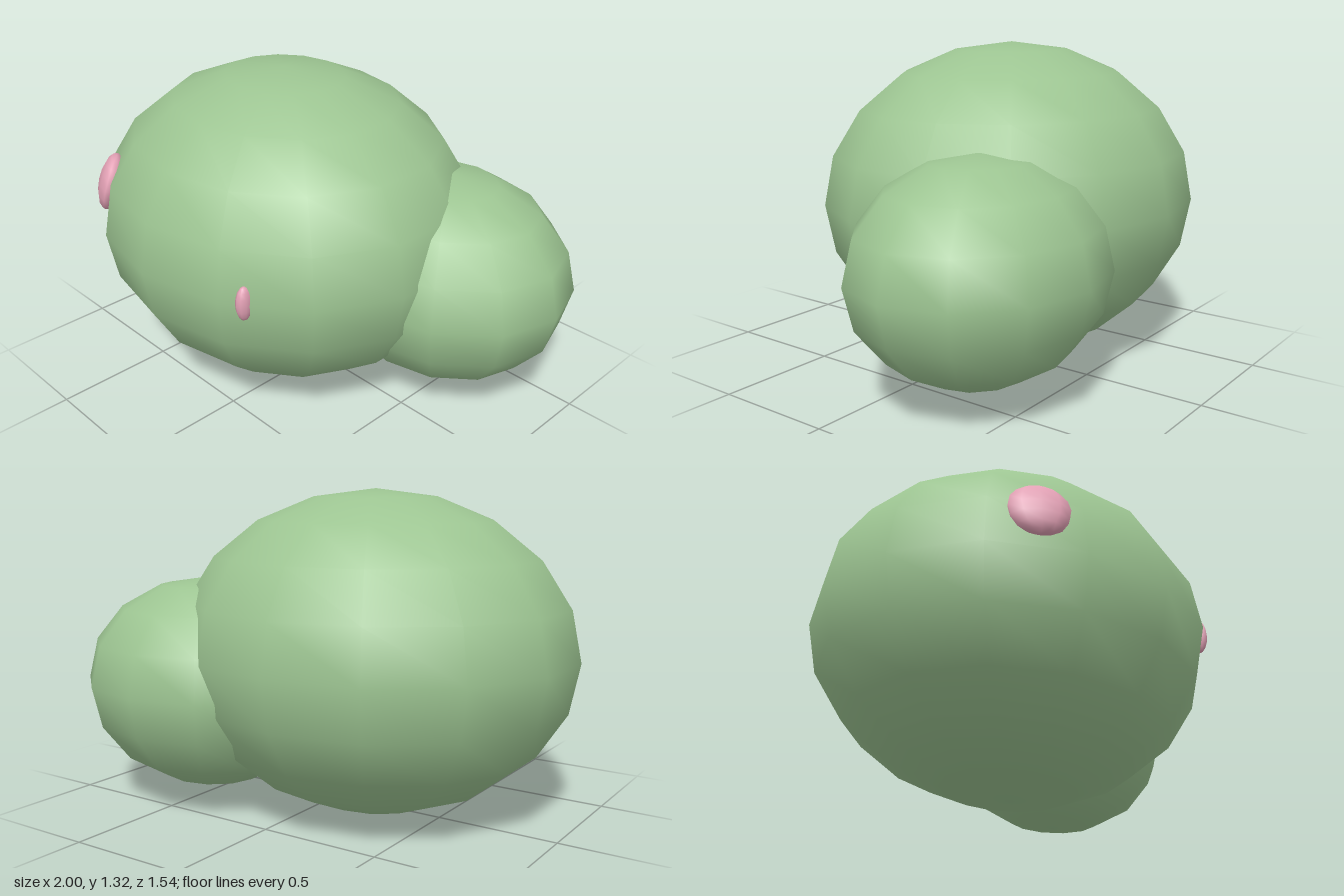
import * as THREE from 'three';

const green = new THREE.MeshStandardMaterial({ color: 0x9dc592 });
green.name = 'soft green';
const pink = new THREE.MeshStandardMaterial({ color: 0xe4a2b6 });
pink.name = 'blush pink';

// Smooth low-poly ellipsoid with a column of vertices facing the front
function ellipsoid(name, material, center, radii, columns, rows) {
  const geometry = new THREE.SphereGeometry(1, columns, rows, Math.PI / 2);
  const mesh = new THREE.Mesh(geometry, material);
  mesh.name = name;
  mesh.position.set(...center);
  mesh.scale.set(...radii);
  return mesh;
}

export function createModel() {
  const group = new THREE.Group();
  group.name = 'roundCreature';

  // Main body and the smaller lobe behind its left side
  group.add(ellipsoid('body', green, [-0.18, 0.66, 0.0125], [0.841, 0.658, 0.757], 14, 10));
  group.add(ellipsoid('tail', green, [0.445, 0.516, -0.297], [0.555, 0.438, 0.476], 12, 8));

  // Flattened cheek lying on the body surface
  const rightCheek = ellipsoid('rightCheek', pink, [-0.66, 0.828, 0.572], [0.118, 0.122, 0.052], 10, 8);
  rightCheek.rotation.set(-0.28, -0.66, 0, 'YXZ');
  group.add(rightCheek);

  // Mostly sunken cheek, only its edge breaking the surface
  group.add(ellipsoid('leftCheek', pink, [0.258, 0.665, 0.627], [0.027, 0.072, 0.038], 10, 8));

  return group;
}
